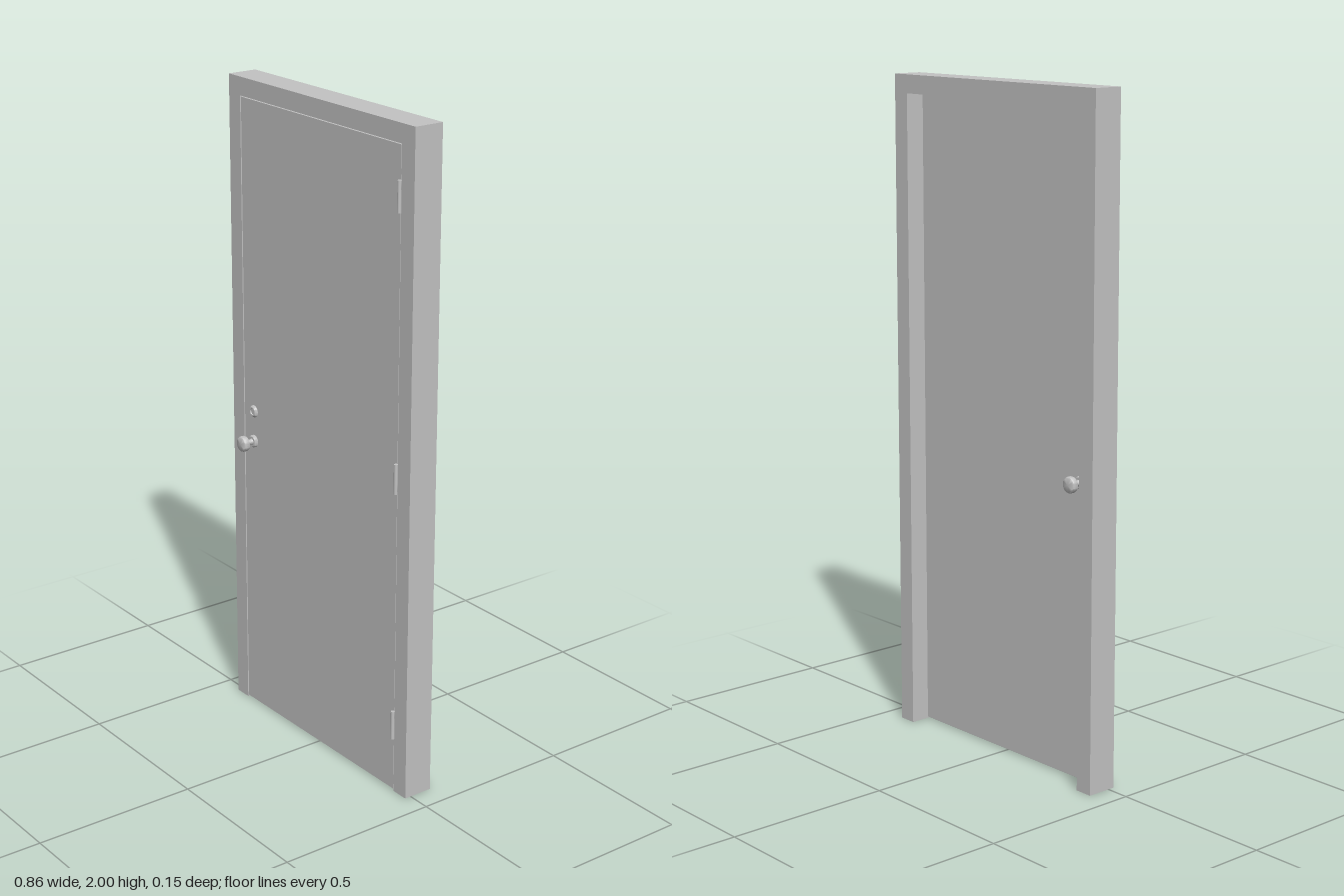
import * as THREE from 'three';
import { toCreasedNormals } from 'three/addons/utils/BufferGeometryUtils.js';

const FRONT = 0.02, BACK = -0.073;       // frame faces
const LEAF_FRONT = 0.019, LEAF_BACK = -0.016;
const LATCH_X = -0.322;

export function createModel() {
  const model = new THREE.Group();
  model.name = 'door';
  const grey = new THREE.MeshStandardMaterial({ color: 0xc2c2c2 });
  grey.name = 'light grey';

  const add = (name, geometry, parent = model) => {
    const mesh = new THREE.Mesh(geometry, grey);
    mesh.name = name;
    parent.add(mesh);
    return mesh;
  };

  // turned part whose axis points along +z; profile is [radius, distance]
  const turned = (profile, segments = 24) => {
    const points = profile.map(([r, d]) => new THREE.Vector2(r, d));
    const geometry = new THREE.LatheGeometry(points, segments);
    geometry.rotateX(Math.PI / 2);
    return toCreasedNormals(geometry, 0.6);
  };

  // frame: two jambs and a head in one outline, open at the floor
  const outline = [
    [-0.428, 0], [-0.373, 0], [-0.373, 1.945], [0.373, 1.945],
    [0.373, 0], [0.428, 0], [0.428, 2], [-0.428, 2],
  ].map(([x, y]) => new THREE.Vector2(x, y));
  const frame = new THREE.ExtrudeGeometry(new THREE.Shape(outline), {
    depth: FRONT - BACK, bevelEnabled: false,
  });
  frame.translate(0, 0, BACK);
  add('frame', frame);

  // door leaf with a narrow gap all round
  const leaf = new THREE.BoxGeometry(0.74, 1.936, LEAF_FRONT - LEAF_BACK);
  leaf.translate(0, 0.006 + 0.968, (LEAF_FRONT + LEAF_BACK) / 2);
  add('doorLeaf', leaf);

  // a knob on each side: rose, neck and rounded grip
  const rose = [[0.019, 0], [0.019, 0.007], [0.016, 0.011], [0, 0.011]];
  const neck = [[0.010, 0.010], [0.008, 0.015], [0.008, 0.027], [0.012, 0.033]];
  const grip = [
    [0, 0.031], [0.019, 0.031], [0.0225, 0.033], [0.024, 0.037],
    [0.024, 0.046], [0.0225, 0.050], [0.019, 0.0525], [0, 0.0535],
  ];
  for (const [name, z, turn] of [['frontKnob', LEAF_FRONT, 0], ['backKnob', LEAF_BACK, Math.PI]]) {
    const knob = new THREE.Group();
    knob.name = name;
    knob.position.set(LATCH_X, 0.892, z);
    knob.rotation.y = turn;
    add('rose', turned(rose), knob);
    add('neck', turned(neck), knob);
    add('grip', turned(grip), knob);
    model.add(knob);
  }

  // lock above the front knob: bevelled ring with a sunken cylinder
  const lock = add('lock', turned([
    [0.019, 0], [0.018, 0.004], [0.014, 0.008], [0.010, 0.008], [0.009, 0.005], [0, 0.005],
  ]));
  lock.position.set(LATCH_X, 0.988, LEAF_FRONT);

  // hinge barrels
  for (const y of [0.22, 0.992, 1.802]) {
    const hinge = add('hinge', new THREE.CylinderGeometry(0.006, 0.006, 0.09, 12));
    hinge.position.set(0.371, y, 0.025);
  }

  return model;
}
